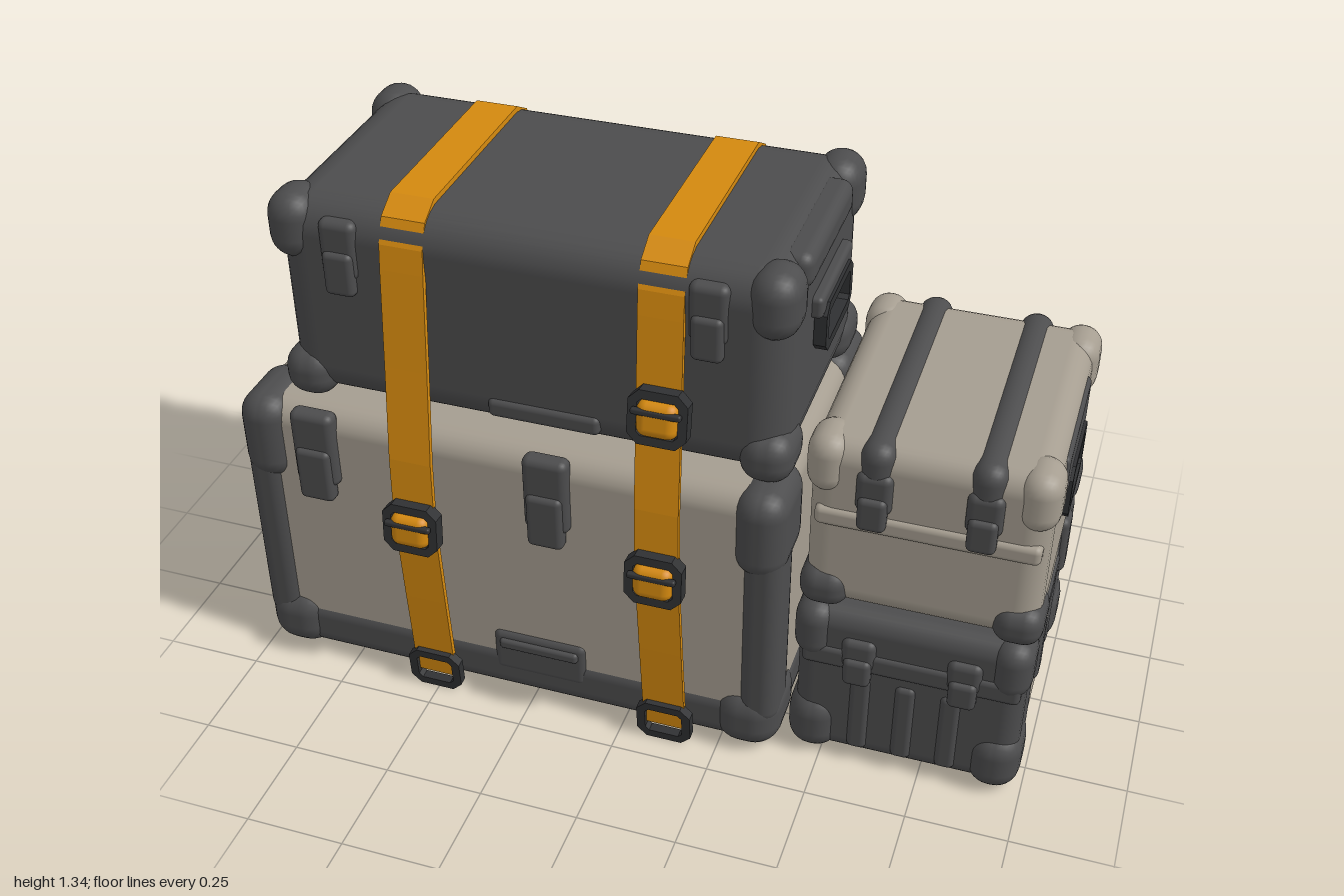
import * as THREE from 'three';
import { RoundedBoxGeometry } from 'three/addons/geometries/RoundedBoxGeometry.js';

const mat = (name, color) => {
  const m = new THREE.MeshStandardMaterial({ color });
  m.name = name;
  return m;
};

export function createModel() {
  const dark = mat('charcoal plastic', 0x4c4c4d);
  const beige = mat('warm grey shell', 0xa59d90);
  const orange = mat('orange webbing', 0xd4890f);
  const black = mat('buckle black', 0x303133);
  const root = new THREE.Group();
  root.name = 'stackedCases';

  const group = (name, parent = root) => {
    const g = new THREE.Group();
    g.name = name;
    parent.add(g);
    return g;
  };
  const add = (parent, name, geo, material) => {
    const m = new THREE.Mesh(geo, material);
    m.name = name;
    parent.add(m);
    return m;
  };

  // Rounded box given by its min and max corners
  const block = (parent, name, material, x0, x1, y0, y1, z0, z1, r = 0.02) => {
    const w = x1 - x0, h = y1 - y0, d = z1 - z0;
    const geo = new RoundedBoxGeometry(w, h, d, 3, Math.min(r, w / 2.01, h / 2.01, d / 2.01));
    geo.translate((x0 + x1) / 2, (y0 + y1) / 2, (z0 + z1) / 2);
    return add(parent, name, geo, material);
  };
  // The same block on front and back
  const both = (parent, name, material, x0, x1, y0, y1, z0, z1, r) => {
    block(parent, name + 'Front', material, x0, x1, y0, y1, z0, z1, r);
    block(parent, name + 'Back', material, x0, x1, y0, y1, -z1, -z0, r);
  };

  // Four corner guards at one level of a case
  const corners = (parent, name, material, x0, x1, y0, y1, z, w, d, r) => {
    for (const [a, b] of [[x0, x0 + w], [x1 - w, x1]])
      both(parent, name, material, a, b, y0, y1, z - d, z, r);
  };

  // Latch with a strap plate and a raised lever, front and back
  const latches = (parent, xs, y0, y1, z, w) => {
    for (const x of xs) {
      both(parent, 'latchPlate', dark, x - w / 2, x + w / 2, y0 + 0.04, y1, z - 0.05, z, 0.02);
      both(parent, 'latchLever', dark, x - w * 0.4, x + w * 0.4, y0, y0 + (y1 - y0) * 0.6, z - 0.03, z + 0.012, 0.015);
    }
  };

  // Rounded rectangular ring facing +z, centred at the origin
  const ringGeometry = (w, h, bar, depth) => {
    const outline = (path, a, b, c) => {
      path.moveTo(-a + c, -b);
      path.lineTo(a - c, -b); path.lineTo(a, -b + c);
      path.lineTo(a, b - c); path.lineTo(a - c, b);
      path.lineTo(-a + c, b); path.lineTo(-a, b - c);
      path.lineTo(-a, -b + c); path.closePath();
      return path;
    };
    const shape = outline(new THREE.Shape(), w / 2, h / 2, 0.025);
    shape.holes.push(outline(new THREE.Path(), w / 2 - bar, h / 2 - bar, 0.01));
    return new THREE.ExtrudeGeometry(shape, { depth, bevelEnabled: false }).translate(0, 0, -depth / 2);
  };

  // Carry handle on the +x end
  const handle = (parent, x, y0, y1, halfZ) => {
    const ring = add(parent, 'handleLoop', ringGeometry(halfZ * 2, y1 - y0, 0.025, 0.03), black);
    ring.rotation.y = Math.PI / 2;
    ring.position.set(x, (y0 + y1) / 2, 0);
  };

  // Large bottom case
  const big = group('largeCase');
  block(big, 'shell', beige, -0.985, 0.385, 0.03, 0.79, -0.395, 0.395, 0.06);
  block(big, 'base', dark, -0.99, 0.39, 0.02, 0.17, -0.402, 0.402, 0.05);
  corners(big, 'lowerCorner', dark, -1, 0.4, 0.01, 0.19, 0.42, 0.17, 0.22, 0.07);
  corners(big, 'upperCorner', dark, -1, 0.4, 0.56, 0.8, 0.42, 0.13, 0.22, 0.06);
  corners(big, 'cornerPost', dark, -0.995, 0.395, 0.1, 0.7, 0.41, 0.1, 0.14, 0.04);
  both(big, 'gripRecess', dark, -0.35, -0.1, 0.09, 0.22, 0.35, 0.405, 0.02);
  both(big, 'gripLip', dark, -0.33, -0.12, 0.17, 0.2, 0.35, 0.415, 0.01);
  latches(big, [-0.79, -0.185], 0.545, 0.795, 0.42, 0.115);

  // Dark case on top
  const top = group('topCase');
  block(top, 'shell', dark, -0.875, 0.375, 0.8, 1.335, -0.335, 0.335, 0.09);
  corners(top, 'lowerCorner', dark, -0.89, 0.39, 0.79, 0.92, 0.355, 0.13, 0.17, 0.055);
  corners(top, 'upperCorner', dark, -0.89, 0.39, 1.17, 1.34, 0.35, 0.12, 0.15, 0.08);
  both(top, 'gripRecess', dark, -0.35, -0.07, 0.84, 0.89, 0.3, 0.345, 0.015);
  latches(top, [-0.7, 0.19], 1.11, 1.3, 0.345, 0.095);
  block(top, 'endPanel', dark, 0.3, 0.385, 1.235, 1.325, -0.2, 0.2, 0.03);
  block(top, 'handleMount', dark, 0.33, 0.4, 1.135, 1.19, -0.145, 0.145, 0.012);
  handle(top, 0.392, 1.03, 1.16, 0.125);

  // Small lower case: dark halves around a light core
  const low = group('smallLowerCase');
  block(low, 'core', beige, 0.43, 0.975, 0.02, 0.46, -0.3, 0.3, 0.04);
  both(low, 'halfShell', dark, 0.425, 0.98, 0.02, 0.465, 0.13, 0.35, 0.05);
  block(low, 'lidBand', dark, 0.424, 0.982, 0.295, 0.36, -0.2, 0.2, 0.015);
  corners(low, 'lowerCorner', dark, 0.41, 0.99, 0.01, 0.18, 0.37, 0.13, 0.18, 0.06);
  corners(low, 'upperCorner', dark, 0.415, 0.99, 0.31, 0.47, 0.365, 0.1, 0.15, 0.05);
  both(low, 'frontRim', dark, 0.44, 0.97, 0.3, 0.36, 0.3, 0.358, 0.015);
  for (const x of [0.59, 0.7, 0.81])
    both(low, 'rib', dark, x - 0.025, x + 0.025, 0.05, 0.28, 0.3, 0.36, 0.015);
  latches(low, [0.58, 0.835], 0.27, 0.4, 0.365, 0.085);
  both(low, 'sideLatch', dark, 0.94, 0.995, 0.29, 0.46, 0.17, 0.25, 0.02);

  // Small upper case
  const up = group('smallUpperCase');
  block(up, 'shell', beige, 0.43, 0.985, 0.48, 0.95, -0.34, 0.34, 0.06);
  corners(up, 'lowerCorner', dark, 0.42, 0.997, 0.475, 0.58, 0.36, 0.12, 0.16, 0.045);
  corners(up, 'upperCorner', beige, 0.42, 0.997, 0.8, 0.955, 0.352, 0.1, 0.14, 0.055);
  both(up, 'lidRim', beige, 0.45, 0.97, 0.72, 0.77, 0.3, 0.35, 0.015);
  for (const x of [0.585, 0.835])
    block(up, 'lidBand', dark, x - 0.042, x + 0.042, 0.78, 0.96, -0.355, 0.355, 0.05);
  latches(up, [0.585, 0.835], 0.74, 0.89, 0.358, 0.085);
  block(up, 'handlePlate', dark, 0.93, 0.992, 0.78, 0.91, -0.175, 0.185, 0.015);
  handle(up, 0.985, 0.685, 0.83, 0.12);

  // Webbing strap over the stack, leaning slightly in x
  const half = [[0.428, 0.05], [0.436, 0.3], [0.442, 0.55], [0.425, 0.72], [0.385, 0.96],
    [0.347, 1.2], [0.336, 1.26], [0.308, 1.318], [0.25, 1.35]];
  const path = [...half, ...half.slice().reverse().map(([z, y]) => [-z, y])];
  const inner = path.map(([z, y], i) => {
    const a = path[Math.max(i - 1, 0)], b = path[Math.min(i + 1, path.length - 1)];
    const dz = b[0] - a[0], dy = b[1] - a[1], l = Math.hypot(dz, dy);
    return [z - (dy / l) * 0.014, y + (dz / l) * 0.014];
  });
  const outline = [...path, ...inner.reverse()].map(([z, y]) => new THREE.Vector2(z, y));
  const strapWidth = 0.108;
  const lean = (x, y) => x - 0.028 * y;

  const buckle = (parent, x, y, z, side, tilt) => {
    const g = group('buckle', parent);
    add(g, 'buckleFrame', ringGeometry(0.142, 0.135, 0.022, 0.035), black);
    block(g, 'buckleFold', orange, -0.05, 0.05, -0.045, 0.045, -0.02, 0.035, 0.025);
    block(g, 'buckleBar', black, -0.06, 0.06, 0.012, 0.028, 0.02, 0.037, 0.006);
    g.position.set(lean(x, y), y, z * side);
    g.rotation.set(-tilt, side < 0 ? Math.PI : 0, 0, 'YXZ');
  };

  const strap = (name, baseX) => {
    const g = group(name);
    const geo = new THREE.ExtrudeGeometry(new THREE.Shape(outline), { depth: strapWidth, bevelEnabled: false });
    geo.translate(0, 0, -strapWidth / 2).rotateY(-Math.PI / 2);
    const p = geo.attributes.position;
    for (let i = 0; i < p.count; i++) p.setX(i, lean(baseX + p.getX(i), p.getY(i)));
    geo.computeVertexNormals();
    add(g, 'webbing', geo, orange);
    for (const side of [1, -1]) {
      buckle(g, baseX, 0.545, 0.452, side, 0.08);
      const ring = add(g, 'endRing', ringGeometry(0.14, 0.12, 0.022, 0.024), black);
      ring.position.set(baseX, 0.068, 0.428 * side);
      ring.rotation.x = 0.08 * side;
    }
    return g;
  };
  strap('rightStrap', -0.505);
  const left = strap('leftStrap', 0.117);
  buckle(left, 0.125, 0.975, 0.4, 1, 0.17);

  return root;
}
